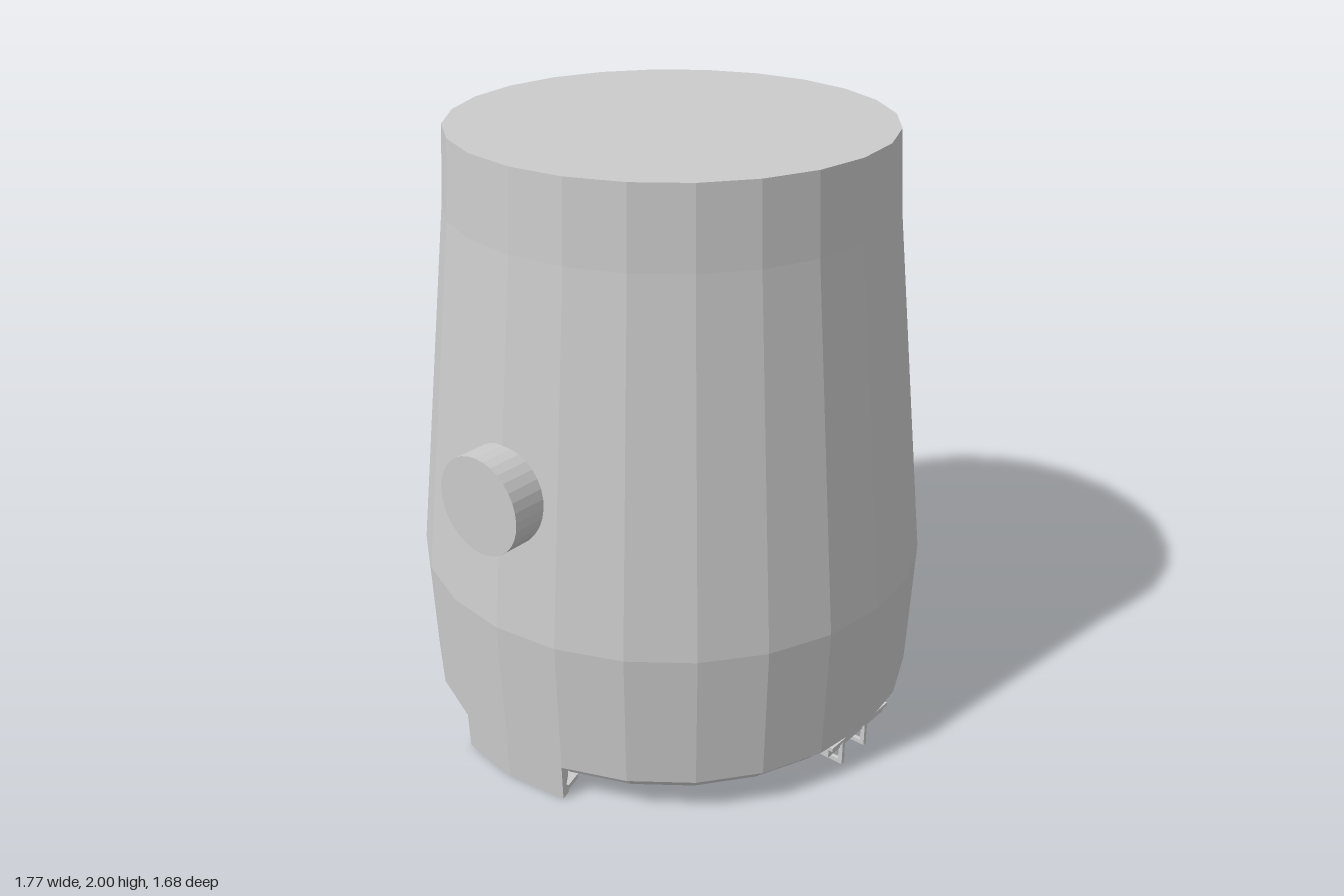
import * as THREE from 'three';

const SIDES = 24;
const STEP = (Math.PI * 2) / SIDES;

export function createModel() {
  const model = new THREE.Group();
  const mat = new THREE.MeshStandardMaterial({
    color: 0xcccccc, flatShading: true, side: THREE.DoubleSide,
  });
  const pts = (list) => list.map(([x, y]) => new THREE.Vector2(x, y));
  const add = (parent, name, geometry) => {
    const mesh = new THREE.Mesh(geometry, mat);
    mesh.name = name;
    parent.add(mesh);
    return mesh;
  };

  // Tapered body with stepped lower rim and recessed underside
  add(model, 'body', new THREE.LatheGeometry(pts([
    [0, 0.11], [0.7, 0.11], [0.72, 0.07], [0.77, 0.07], [0.8, 0.125], [0.825, 0.125],
    [0.842, 0.58], [0.715, 1.75], [0.7, 2], [0, 2],
  ]), SIDES));

  // Round side knobs, partly sunk in the body
  for (const side of [1, -1]) {
    const knob = add(model, side > 0 ? 'leftKnob' : 'rightKnob',
      new THREE.CylinderGeometry(0.158, 0.158, 0.165, 32));
    knob.rotation.z = Math.PI / 2;
    knob.position.set(side * 0.803, 1.02, 0);
  }

  // Curved hooked feet at the left, back and right, each two facets wide
  const hook = pts([
    [0.72, 0.01], [0.785, 0.01], [0.785, 0], [0.82, 0], [0.825, 0.125], [0.785, 0.125],
    [0.785, 0.07], [0.798, 0.04], [0.785, 0.027], [0.72, 0.027], [0.72, 0.01],
  ]);
  const feet = [['leftFoot', Math.PI / 2], ['backFoot', Math.PI], ['rightFoot', Math.PI * 1.5]];
  for (const [name, angle] of feet) {
    const foot = new THREE.Group();
    foot.name = name;
    add(foot, 'hook', new THREE.LatheGeometry(hook, 2, -STEP, STEP * 2));
    for (const end of [-STEP, STEP]) {
      add(foot, 'hookEnd', new THREE.ShapeGeometry(new THREE.Shape(hook)))
        .rotation.y = end - Math.PI / 2;
    }
    foot.rotation.y = angle;
    model.add(foot);
  }

  // Thin front latch: mounting plate, two legs with top arms, and a lower tongue
  const latch = new THREE.Group();
  latch.name = 'frontLatch';
  const box = (name, x0, x1, y0, y1, z0, z1) => add(latch, name,
    new THREE.BoxGeometry(x1 - x0, y1 - y0, z1 - z0))
    .position.set((x0 + x1) / 2, (y0 + y1) / 2, (z0 + z1) / 2);
  box('latchPlate', -0.16, 0.165, 0.07, 0.125, 0.765, 0.79);
  for (const [outer, inner] of [[-0.16, -0.085], [0.165, 0.045]]) {
    box('latchArm', Math.min(outer, inner), Math.max(outer, inner), 0.1, 0.112, 0.785, 0.805);
    box('latchLeg', inner - 0.007, inner + 0.007, 0.008, 0.112, 0.785, 0.8);
    box('latchFinger', inner - 0.007, inner + 0.007, 0.008, 0.022, 0.68, 0.8);
  }
  box('latchTongue', -0.085, 0.045, 0.008, 0.018, 0.68, 0.7);
  model.add(latch);

  return model;
}
